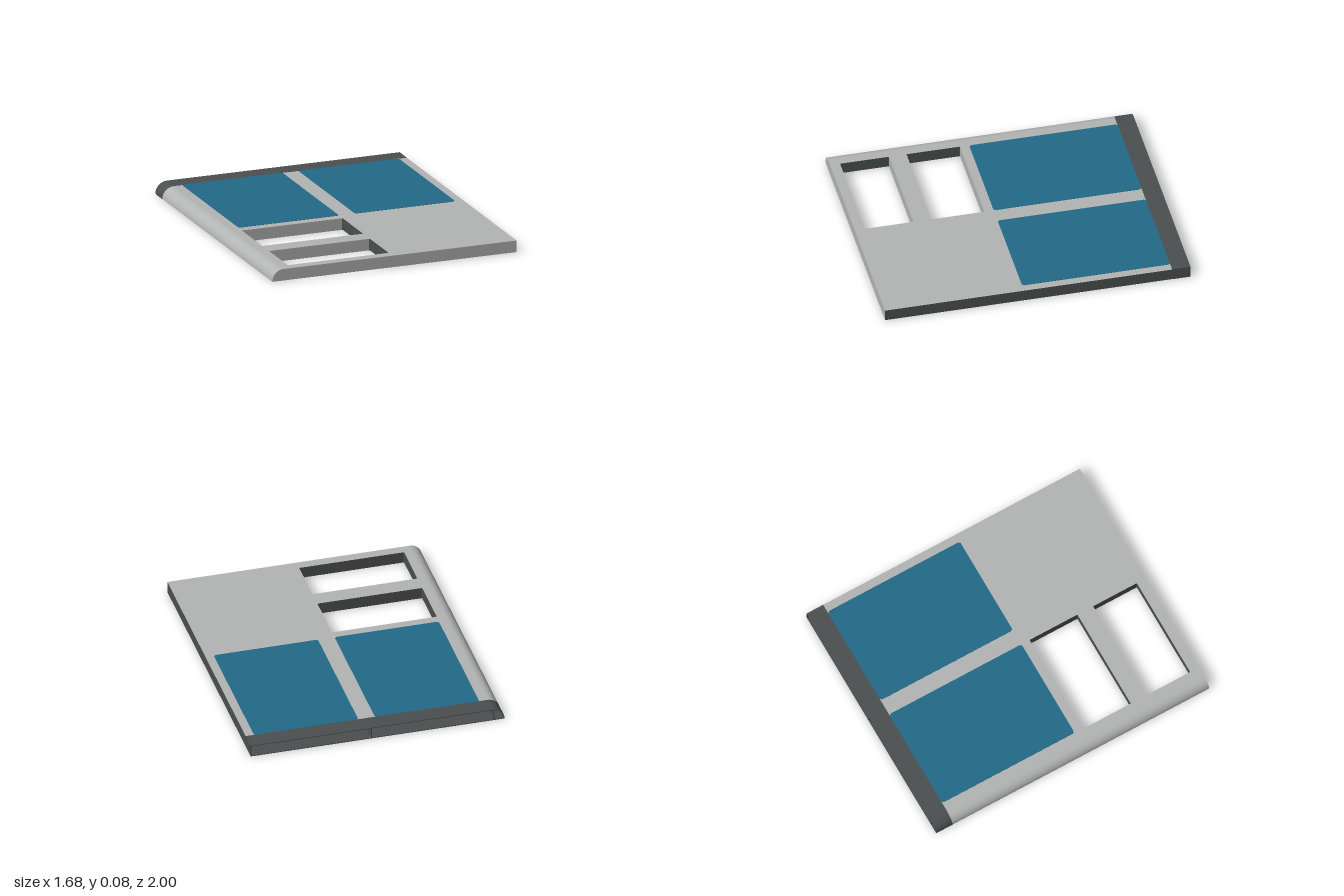
import * as THREE from 'three';
import { toCreasedNormals } from 'three/addons/utils/BufferGeometryUtils.js';

const H = 0.08, BACK = -0.88, SKIN = 0.0015;

function makeMaterial(name, color) {
  const m = new THREE.MeshStandardMaterial({ color });
  m.name = name;
  return m;
}

// Rectangle on the plan (x, z) with small clipped corners; z becomes -y in the shape.
function planRect(x0, x1, z0, z1, c, Type = THREE.Shape) {
  const pts = [
    [x0 + c, z1], [x1 - c, z1], [x1, z1 - c], [x1, z0 + c],
    [x1 - c, z0], [x0 + c, z0], [x0, z0 + c], [x0, z1 - c],
  ];
  const list = c ? pts : [[x0, z1], [x1, z1], [x1, z0], [x0, z0]];
  return new Type(list.map(([x, z]) => new THREE.Vector2(x, -z)));
}

// Extrude a plan shape upward from y0 to y1.
function raise(shape, y0, y1) {
  const g = new THREE.ExtrudeGeometry(shape, { depth: y1 - y0, bevelEnabled: false });
  return g.rotateX(-Math.PI / 2).translate(0, y0, 0);
}

// Give each triangle material 0 or 1 from its face normal.
function splitByNormal(geo, isDark) {
  const g = geo.index ? geo.toNonIndexed() : geo;
  g.clearGroups();
  const p = g.attributes.position, tri = new THREE.Triangle(), n = new THREE.Vector3();
  for (let i = 0; i < p.count; i += 3) {
    tri.a.fromBufferAttribute(p, i);
    tri.b.fromBufferAttribute(p, i + 1);
    tri.c.fromBufferAttribute(p, i + 2);
    tri.getNormal(n);
    g.addGroup(i, 3, isDark(n) ? 1 : 0);
  }
  return g;
}

// Front section with a rounded upper corner on the -x side.
function section(x0, x1, y0, y1, r, Type = THREE.Shape) {
  const pts = [new THREE.Vector2(x1, y0), new THREE.Vector2(x1, y1)];
  for (let i = 0; i <= 10; i++) {
    const a = Math.PI / 2 * (1 + i / 10);
    pts.push(new THREE.Vector2(x0 + r + r * Math.cos(a), y1 - r + r * Math.sin(a)));
  }
  if (y1 - r > y0 + 1e-6) pts.push(new THREE.Vector2(x0, y0));
  return new Type(pts);
}

function alongZ(shape, z0, z1) {
  const g = new THREE.ExtrudeGeometry(shape, { depth: z1 - z0, bevelEnabled: false });
  return toCreasedNormals(g.translate(0, 0, z0), 0.6);
}

export function createModel() {
  const group = new THREE.Group();
  const grey = makeMaterial('light grey', 0xb3b4b4);
  const dark = makeMaterial('dark grey', 0x4b4f4f);
  const blue = makeMaterial('blue', 0x236a88);
  const add = (name, geo, mat) => {
    const m = new THREE.Mesh(geo, mat);
    m.name = name;
    group.add(m);
    return m;
  };

  // Main slab with two rectangular openings
  const plan = planRect(-0.76, 0.84, BACK, 1, 0);
  for (const [z0, z1] of [[0.15, 0.5], [0.615, 0.935]]) {
    plan.holes.push(planRect(-0.708, -0.015, z0, z1, 0.004, THREE.Path));
  }
  const slab = raise(plan, SKIN, H - SKIN);
  add('slab', splitByNormal(slab, n => Math.abs(n.x) > 0.5 || n.z < -0.5), [grey, dark]);

  // Rounded long edge
  const edge = alongZ(section(-0.84, -0.76, SKIN, H - SKIN, H - 2 * SKIN), BACK, 1);
  add('roundedEdge', splitByNormal(edge, n => n.z < -0.5), [grey, dark]);

  // Rear channel: a thin shell, open at the back
  const t = 0.005;
  const shell = section(-0.84, 0.84, 0, H, H);
  shell.holes.push(section(-0.84 + t, 0.84 - t, t, H - t, H - 2 * t, THREE.Path));
  add('rearChannel', alongZ(shell, -1, BACK), dark);

  // Dividers inside the channel
  for (const x of [-0.77, 0.04]) {
    const d = add('channelDivider', new THREE.BoxGeometry(t, H - t, -BACK > 0 ? 0.118 : 0.1), dark);
    d.position.set(x, H / 2, -0.939);
  }

  // Blue panels on the top and the underside
  for (const [x0, x1] of [[-0.705, -0.015], [0.095, 0.785]]) {
    const shape = planRect(x0, x1, BACK, 0.09, 0.012);
    add('topPanel', raise(shape, H - 0.005, H), blue);
    add('bottomPanel', raise(shape, 0, 0.005), blue);
  }
  return group;
}
